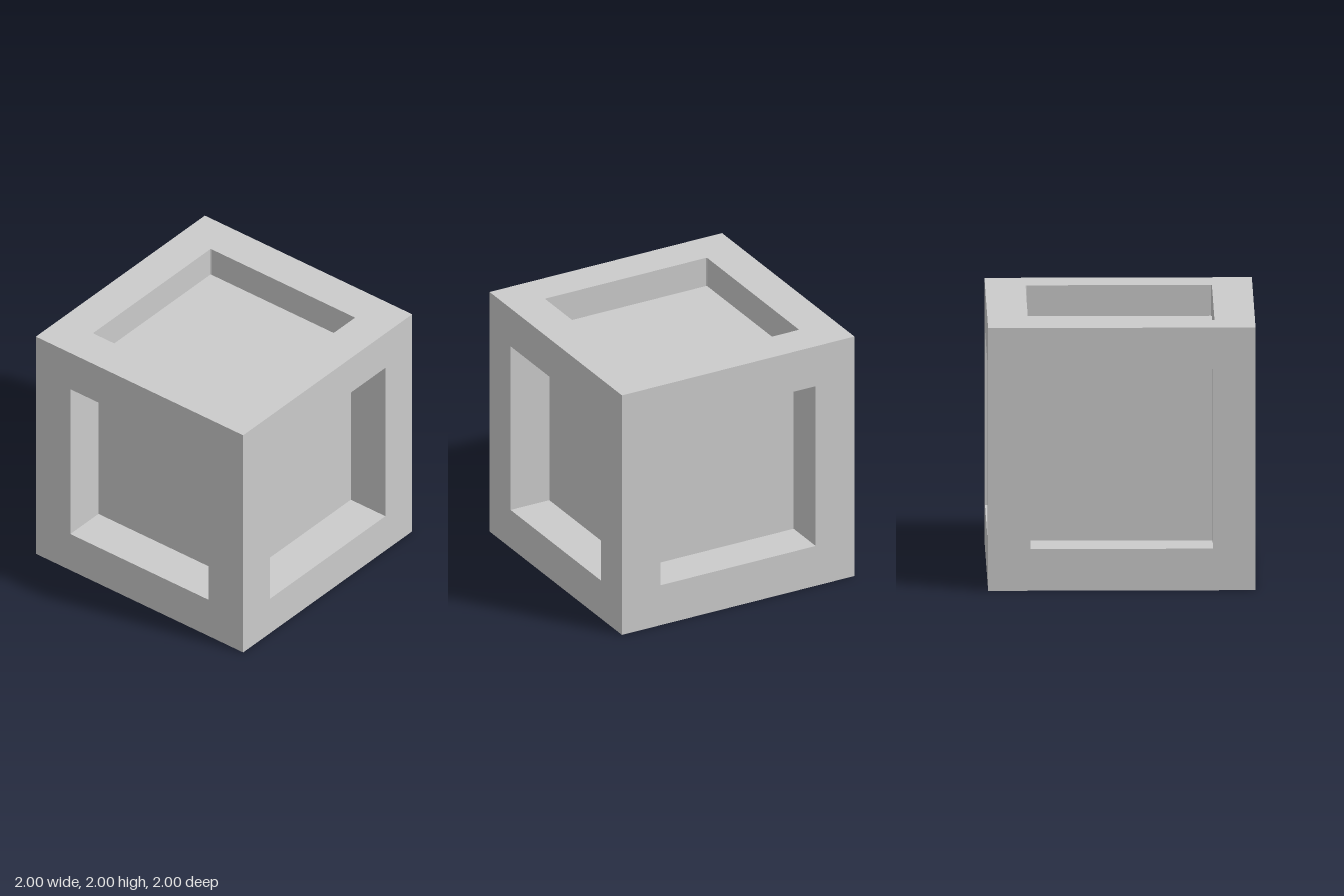
import * as THREE from 'three';

const material = new THREE.MeshStandardMaterial({ color: 0xcccccc, flatShading: true });

// Square outline, counter-clockwise, with corners cut by c
function squareOutline(h, c = 0) {
  const corners = c
    ? [[h - c, -h], [h, -h + c], [h, h - c], [h - c, h], [-h + c, h], [-h, h - c], [-h, -h + c], [-h + c, -h]]
    : [[h, -h], [h, h], [-h, h], [-h, -h]];
  return corners.map(([x, y]) => new THREE.Vector2(x, y));
}

// Walls going inward from an opening's outline, facing the recess
function recessWalls(outline, depth) {
  const positions = [];
  outline.forEach((a, i) => {
    const b = outline[(i + 1) % outline.length];
    positions.push(
      a.x, a.y, 0, b.x, b.y, 0, b.x, b.y, -depth,
      a.x, a.y, 0, b.x, b.y, -depth, a.x, a.y, -depth);
  });
  const geometry = new THREE.BufferGeometry();
  geometry.setAttribute('position', new THREE.Float32BufferAttribute(positions, 3));
  geometry.computeVertexNormals();
  return geometry;
}

// One cube side: square frame, recess walls and recessed floor
function recessedSide(name, half, depth, cut) {
  const side = new THREE.Group();
  side.name = name;
  const opening = squareOutline(half, cut);
  const frameShape = new THREE.Shape(squareOutline(1));
  frameShape.holes.push(new THREE.Path(opening));

  const add = (part, geometry, z) => {
    const mesh = new THREE.Mesh(geometry, material);
    mesh.name = part;
    mesh.position.z = z;
    side.add(mesh);
  };
  add('frame', new THREE.ShapeGeometry(frameShape), 1);
  add('recessWalls', recessWalls(opening, depth), 1);
  add('recessFloor', new THREE.ShapeGeometry(new THREE.Shape(opening)), 1 - depth);
  return side;
}

export function createModel() {
  const model = new THREE.Group();
  model.name = 'recessedCube';
  const q = Math.PI / 2;

  // name, half opening, depth, corner cut, x rotation, y rotation
  const sides = [
    ['frontSide', 0.667, 0.333, 0, 0, 0],
    ['backSide', 0.667, 0.333, 0, 0, 2 * q],
    ['leftSide', 0.683, 0.333, 0, 0, q],
    ['rightSide', 0.683, 0.333, 0, 0, -q],
    ['topSide', 0.697, 0.235, 0.006, -q, 0],
    ['bottomSide', 0.697, 0.235, 0.006, q, 0],
  ];
  for (const [name, half, depth, cut, rx, ry] of sides) {
    const side = recessedSide(name, half, depth, cut);
    side.rotation.set(rx, ry, 0);
    side.position.y = 1;
    model.add(side);
  }
  return model;
}
